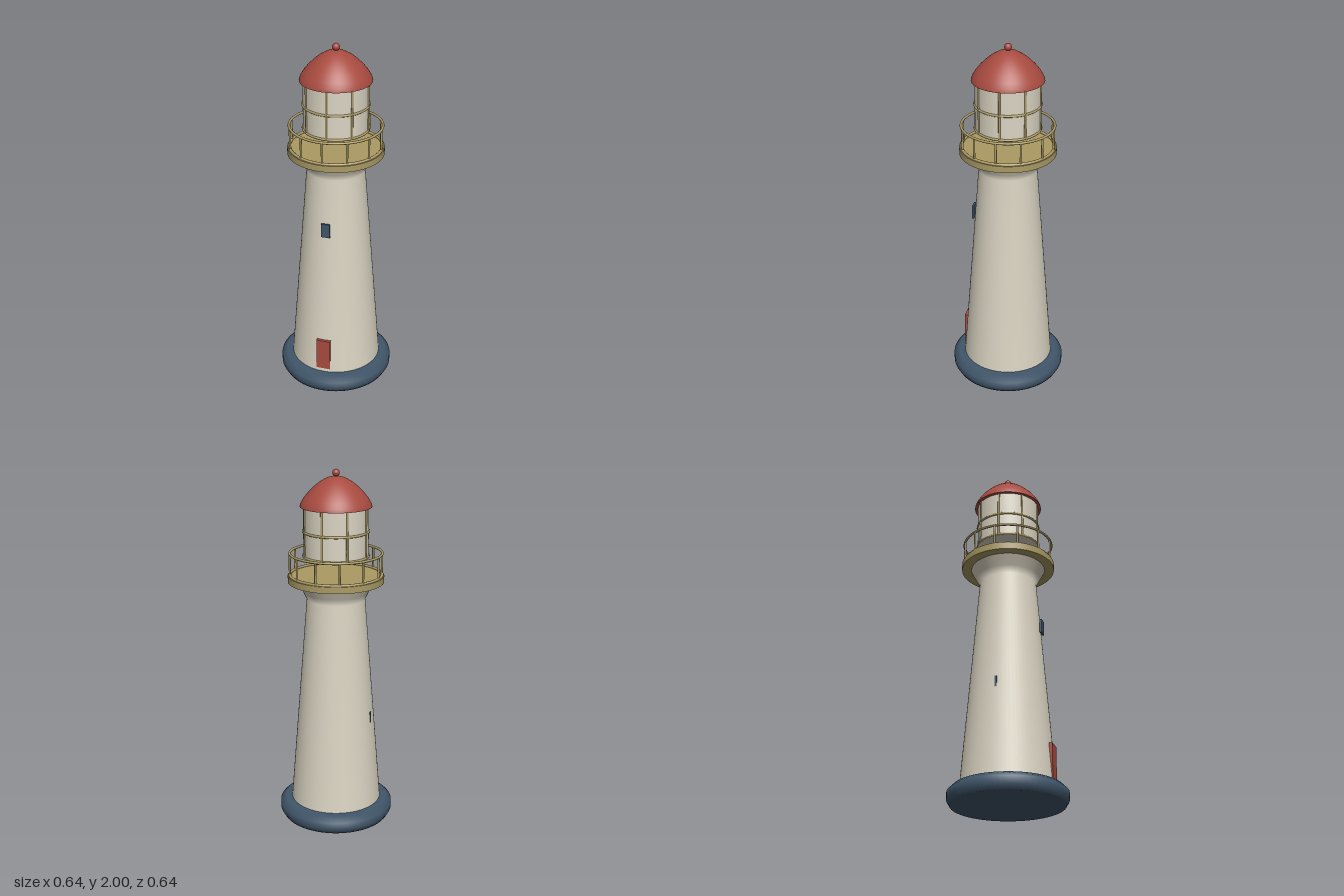
import * as THREE from 'three';

const mat = (name, color) => {
  const m = new THREE.MeshStandardMaterial({ color });
  m.name = name;
  return m;
};

export function createModel() {
  const cream = mat('cream', 0xdad4c2);
  const slate = mat('slate blue', 0x40566a);
  const red = mat('brick red', 0xa84b40);
  const gold = mat('old gold', 0xaa9a64);

  const model = new THREE.Group();
  model.name = 'lighthouse';

  const add = (name, geometry, material, x = 0, y = 0, z = 0, parent = model) => {
    const mesh = new THREE.Mesh(geometry, material);
    mesh.name = name;
    mesh.position.set(x, y, z);
    parent.add(mesh);
    return mesh;
  };
  const lathe = (points) =>
    new THREE.LatheGeometry(points.map(([r, y]) => new THREE.Vector2(r, y)), 64);
  const group = (name) => {
    const g = new THREE.Group();
    g.name = name;
    model.add(g);
    return g;
  };
  // Horizontal hoop around the tower axis
  const hoop = (name, radius, tube, y, parent) =>
    add(name, new THREE.TorusGeometry(radius, tube, 10, 72).rotateX(Math.PI / 2), gold, 0, y, 0, parent);
  // Upright bars spaced evenly around the tower axis
  const uprights = (name, count, ring, radius, y0, y1, parent) => {
    const bar = new THREE.CylinderGeometry(radius, radius, y1 - y0, 10);
    for (let i = 0; i < count; i++) {
      const a = (i / count) * Math.PI * 2;
      add(name, bar, gold, Math.sin(a) * ring, (y0 + y1) / 2, Math.cos(a) * ring, parent);
    }
  };

  // Foundation and tapered tower with flared top
  add('foundation', lathe([[0, 0], [0.305, 0], [0.322, 0.03], [0.322, 0.07], [0.29, 0.1], [0, 0.1]]), slate);
  add('tower', lathe([[0.257, 0.09], [0.161, 1.29], [0.18, 1.33], [0.212, 1.39]]), cream);

  // Door and windows
  add('door', new THREE.BoxGeometry(0.08, 0.19, 0.02), red, 0, 0.215, 0.245);
  const pane = new THREE.BoxGeometry(0.05, 0.08, 0.012);
  add('frontWindow', pane, slate, 0, 1.0, 0.197);
  add('sideWindow', pane, slate, -0.192, 0.61, 0);

  // Gallery deck and railing
  const gallery = group('gallery');
  add('deck', new THREE.CylinderGeometry(0.264, 0.264, 0.036, 72), gold, 0, 1.404, 0, gallery);
  hoop('kerb', 0.252, 0.008, 1.426, gallery);
  hoop('handrail', 0.252, 0.007, 1.546, gallery);
  uprights('railPost', 12, 0.252, 0.006, 1.42, 1.546, gallery);

  // Lantern room with glazing bars
  const lantern = group('lantern');
  add('lanternGlass', new THREE.CylinderGeometry(0.177, 0.177, 0.28, 64), cream, 0, 1.665, 0, lantern);
  hoop('lowerGlazingRing', 0.177, 0.007, 1.532, lantern);
  hoop('middleGlazingRing', 0.177, 0.007, 1.667, lantern);
  uprights('glazingBar', 8, 0.177, 0.006, 1.53, 1.805, lantern);

  // Domed roof with closed underside, and ball on top
  const roof = group('roof');
  add('dome', lathe([[0.195, 1.8], [0.19, 1.818], [0.174, 1.845], [0.15, 1.875], [0.121, 1.904],
    [0.088, 1.931], [0.05, 1.953], [0.02, 1.961], [0, 1.962]]), red, 0, 0, 0, roof);
  add('eaves', new THREE.CircleGeometry(0.195, 64).rotateX(Math.PI / 2), red, 0, 1.8, 0, roof);
  add('finial', new THREE.SphereGeometry(0.02, 24, 16), red, 0, 1.98, 0, roof);

  return model;
}
